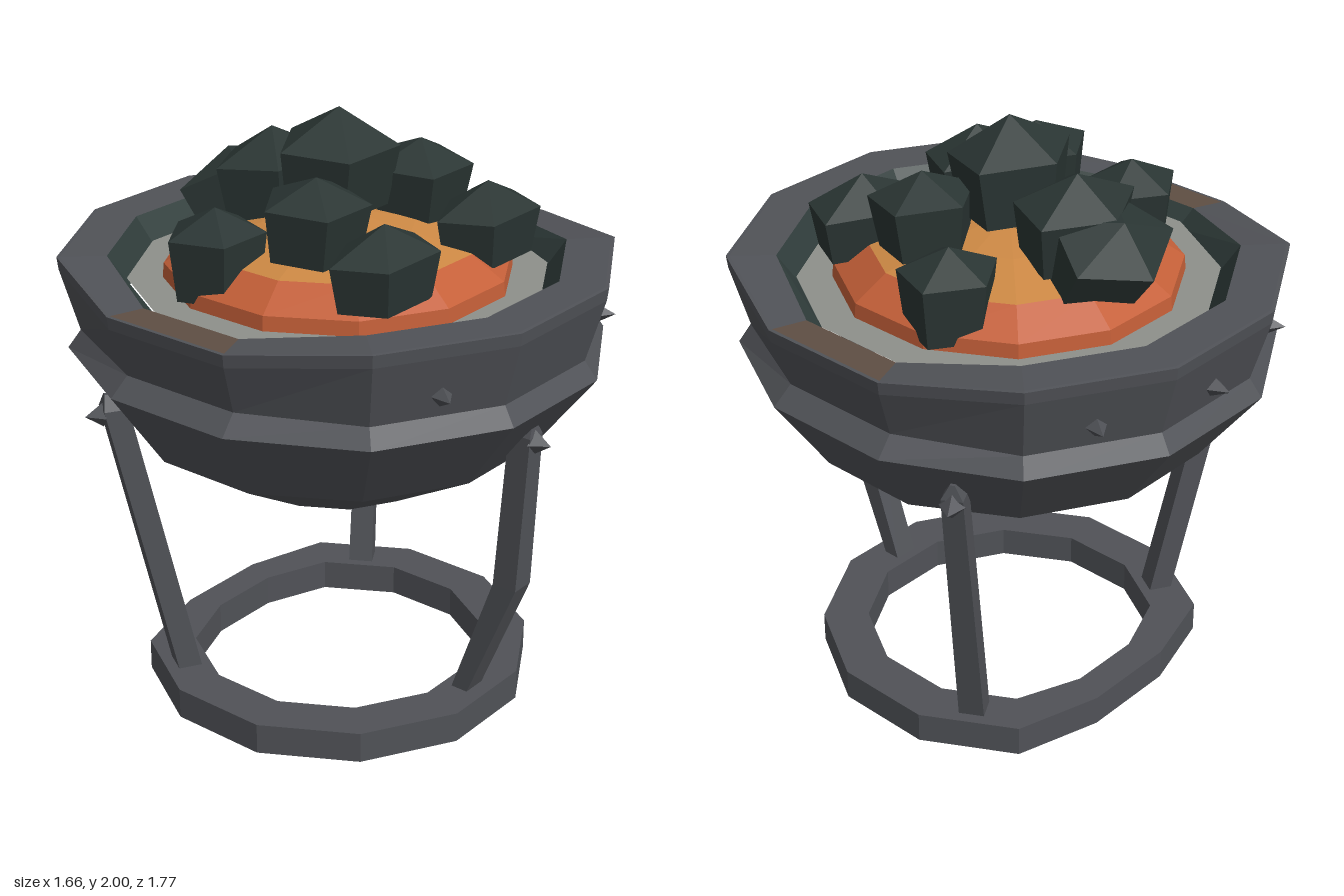
import * as THREE from 'three';

const mat = (name, color) => new THREE.MeshStandardMaterial({ name, color, flatShading: true });

// Skin a stack of equal-length loops; each loop runs counterclockwise seen from above.
// keep(k) chooses which segments around the loop are built.
function loft(loops, keep = () => true) {
  const pos = [];
  const tri = (a, b, c) => {
    const area = b.clone().sub(a).cross(c.clone().sub(a)).length();
    if (area > 1e-7) for (const p of [a, b, c]) pos.push(p.x, p.y, p.z);
  };
  for (let i = 0; i < loops.length - 1; i++) {
    const n = loops[i].length;
    for (let k = 0; k < n; k++) {
      if (!keep(k)) continue;
      const j = (k + 1) % n, lo = loops[i], hi = loops[i + 1];
      tri(lo[k], lo[j], hi[j]);
      tri(lo[k], hi[j], hi[k]);
    }
  }
  const g = new THREE.BufferGeometry();
  g.setAttribute('position', new THREE.Float32BufferAttribute(pos, 3));
  g.computeVertexNormals();
  return g;
}

// Twelve-sided loop; the four corners on the x sides can be pushed in and down.
function ring(r, y, pinch = 1, drop = 0) {
  return Array.from({ length: 12 }, (_, k) => {
    const a = (15 + 30 * k) * Math.PI / 180;
    const side = Math.abs(Math.sin(a)) > 0.9;
    return new THREE.Vector3(r * Math.sin(a) * (side ? pinch : 1), y - (side ? drop : 0), r * Math.cos(a));
  });
}

export function createModel() {
  const model = new THREE.Group();
  model.name = 'fireBrazier';
  const iron = mat('iron', 0x505257);
  const worn = mat('wornRim', 0x5e4e43);
  const soot = mat('sootLining', 0x303d3b);
  const coalMat = mat('coal', 0x2a3533);
  const ash = mat('ash', 0x8e908b);
  const red = mat('redEmber', 0xc45f38);
  const orange = mat('orangeEmber', 0xcc8844);

  const add = (name, geometry, material, parent = model) => {
    const m = new THREE.Mesh(geometry, material);
    m.name = name;
    parent.add(m);
    return m;
  };

  // Bowl with a grooved band and a rim that sags on both sides
  const rimOuter = ring(0.905, 1.532, 0.945, 0.045);
  const rimEdge = ring(0.893, 1.533, 0.945, 0.045);
  const rimInner = ring(0.745, 1.53, 0.985, 0.04);
  add('bowl', loft([
    ring(0, 0.667), ring(0.32, 0.745), ring(0.683, 0.957), ring(0.883, 1.22, 0.973),
    ring(0.84, 1.28, 0.945), ring(0.9, 1.49, 0.945, 0.045), rimOuter, rimEdge,
  ]), iron);
  const isSide = k => k === 2 || k === 8;
  add('rimTop', loft([rimEdge, rimInner], k => !isSide(k)), iron);
  add('wornRimPatches', loft([rimEdge, rimInner], isSide), worn);
  add('bowlLining', loft([rimInner, ring(0.675, 1.43)]), soot);

  // Ash bed and ember mound
  add('ashBed', loft([ring(0.685, 1.452), ring(0, 1.452)]), ash);
  add('emberEdge', loft([ring(0.57, 1.45), ring(0.565, 1.5), ring(0.455, 1.575)]), red);
  add('emberTop', loft([ring(0.455, 1.575), ring(0.25, 1.625), ring(0, 1.665)]), orange);

  // Coals: pentagonal lumps with a shallow peak and a tapered body
  const pentagon = (sx, sz, y) => Array.from({ length: 5 }, (_, k) => {
    const a = Math.PI + k * Math.PI * 2 / 5;
    return new THREE.Vector3(sx * Math.sin(a), y, sz * Math.cos(a));
  });
  const addCoal = (x, top, z, sx, sz, peak, body, tilt = 0) => {
    const c = add('coal', loft([
      pentagon(0, 0, -peak - body), pentagon(sx * 0.85, sz * 0.85, -peak - body),
      pentagon(sx, sz, -peak), pentagon(0, 0, 0),
    ]), coalMat);
    c.position.set(x, top, z);
    c.rotation.x = tilt;
  };
  addCoal(0, 2.0, 0, 0.22, 0.19, 0.12, 0.2, 0.06);
  addCoal(0, 1.885, -0.28, 0.23, 0.17, 0.1, 0.18, -0.05);
  addCoal(0, 1.78, -0.47, 0.24, 0.18, 0.08, 0.21, -0.5);
  for (const s of [-1, 1]) {
    addCoal(s * 0.43, 1.75, -0.145, 0.17, 0.155, 0.08, 0.2);
    addCoal(s * 0.265, 1.86, 0.125, 0.185, 0.17, 0.08, 0.17, 0.06);
    addCoal(s * 0.267, 1.77, 0.39, 0.218, 0.145, 0.095, 0.15);
  }

  // Small four-sided studs pointing outward
  const studGeo = (r, h) => {
    const g = new THREE.ConeGeometry(r, h, 4).toNonIndexed();
    g.rotateX(Math.PI / 2);
    g.computeVertexNormals();
    return g;
  };
  const bandStud = studGeo(0.043, 0.08);
  for (const deg of [30, -30, 150, 180, 210]) {
    const a = deg * Math.PI / 180;
    const s = add('bandStud', bandStud, iron);
    s.position.set(0.855 * Math.sin(a), 1.355, 0.855 * Math.cos(a));
    s.rotation.y = a;
  }

  // Legs: rows are height, inner radius, outer radius, half width
  const legSections = {
    bent: [[0.08, 0.51, 0.57, 0.043], [0.546, 0.67, 0.757, 0.042], [1.09, 0.705, 0.785, 0.035], [1.14, 0.74, 0.775, 0.008]],
    straight: [[0.08, 0.51, 0.59, 0.043], [1.09, 0.73, 0.81, 0.035], [1.14, 0.76, 0.8, 0.008]],
  };
  const legStud = studGeo(0.042, 0.06);
  for (const [name, deg, kind] of [['frontLeg', 0, 'bent'], ['backLeftLeg', 120, 'straight'], ['backRightLeg', -120, 'straight']]) {
    const rows = legSections[kind];
    const leg = new THREE.Group();
    leg.name = name;
    leg.rotation.y = deg * Math.PI / 180;
    model.add(leg);
    const loops = rows.map(([y, a, b, w]) =>
      [[-w, b], [w, b], [w, a], [-w, a]].map(([x, z]) => new THREE.Vector3(x, y, z)));
    const [y, a, b] = rows[rows.length - 1];
    loops.push(Array(4).fill(new THREE.Vector3(0, y, (a + b) / 2)));
    add('legBar', loft(loops), iron, leg);
    add('legStud', legStud, iron, leg).position.set(0, 1.07, rows[rows.length - 2][2] + 0.025);
  }

  // Base ring, flattened at the back
  const baseLoop = (r, y, back) => ring(r, y).map(p => p.setZ(Math.max(p.z, -back)));
  add('baseRing', loft([
    baseLoop(0.5, 0, 0.44), baseLoop(0.657, 0, 0.55), baseLoop(0.657, 0.106, 0.55),
    baseLoop(0.5, 0.106, 0.44), baseLoop(0.5, 0, 0.44),
  ]), iron);

  return model;
}
